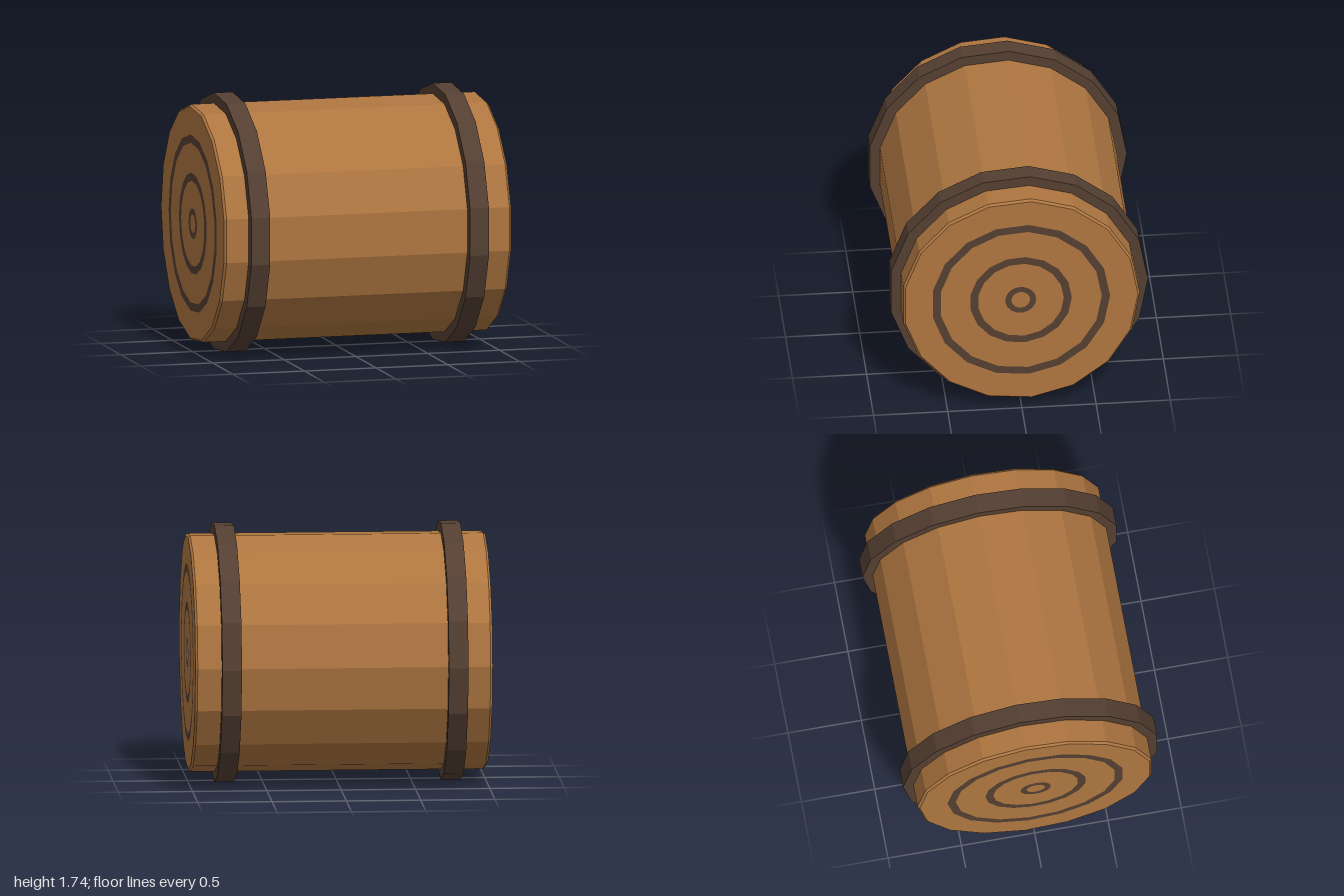
import * as THREE from 'three';

const SIDES = 17;
const AXIS_Y = 0.871, AXIS_Z = 0.0075;

// Faceted solid of revolution about the x axis; profile is [radius, x] running towards +x on the outside
function turned(profile) {
  const points = profile.map(([r, x]) => new THREE.Vector2(r, x));
  const geometry = new THREE.LatheGeometry(points, SIDES, Math.PI).toNonIndexed();
  geometry.computeVertexNormals();
  return geometry.rotateZ(-Math.PI / 2);
}

export function createModel() {
  const wood = new THREE.MeshStandardMaterial({ color: 0xae7640 });
  wood.name = 'warm wood';
  const dark = new THREE.MeshStandardMaterial({ color: 0x543f32 });
  dark.name = 'dark brown';

  const barrel = new THREE.Group();
  barrel.name = 'barrel';
  barrel.position.set(0, AXIS_Y, AXIS_Z);

  const add = (name, profile, material) => {
    const mesh = new THREE.Mesh(turned(profile), material);
    mesh.name = name;
    barrel.add(mesh);
  };

  // Log body with narrow chamfers at both ends
  add('body', [[0.79, -1], [0.804, -0.985], [0.804, 0.985], [0.79, 1]], wood);

  // Raised bands around the body
  for (const [name, x] of [['rightBand', -0.766], ['leftBand', 0.758]]) {
    const a = x - 0.0655, b = x + 0.0655;
    add(name, [[0.79, a], [0.874, a], [0.874, b], [0.79, b]], dark);
  }

  // End faces: alternating wood and dark growth rings, flush with each other
  const radii = [0, 0.063, 0.104, 0.29, 0.344, 0.546, 0.602, 0.79];
  for (const side of [-1, 1]) {
    const end = side > 0 ? 'left' : 'right';
    for (let i = 0; i < radii.length - 1; i++) {
      const ring = [[radii[i], side], [radii[i + 1], side]];
      if (side > 0) ring.reverse();
      const isDark = i % 2 === 1;
      add(`${end}End${isDark ? 'GrowthRing' : 'Wood'}${i}`, ring, isDark ? dark : wood);
    }
  }

  const model = new THREE.Group();
  model.name = 'woodenBarrel';
  model.add(barrel);
  return model;
}
